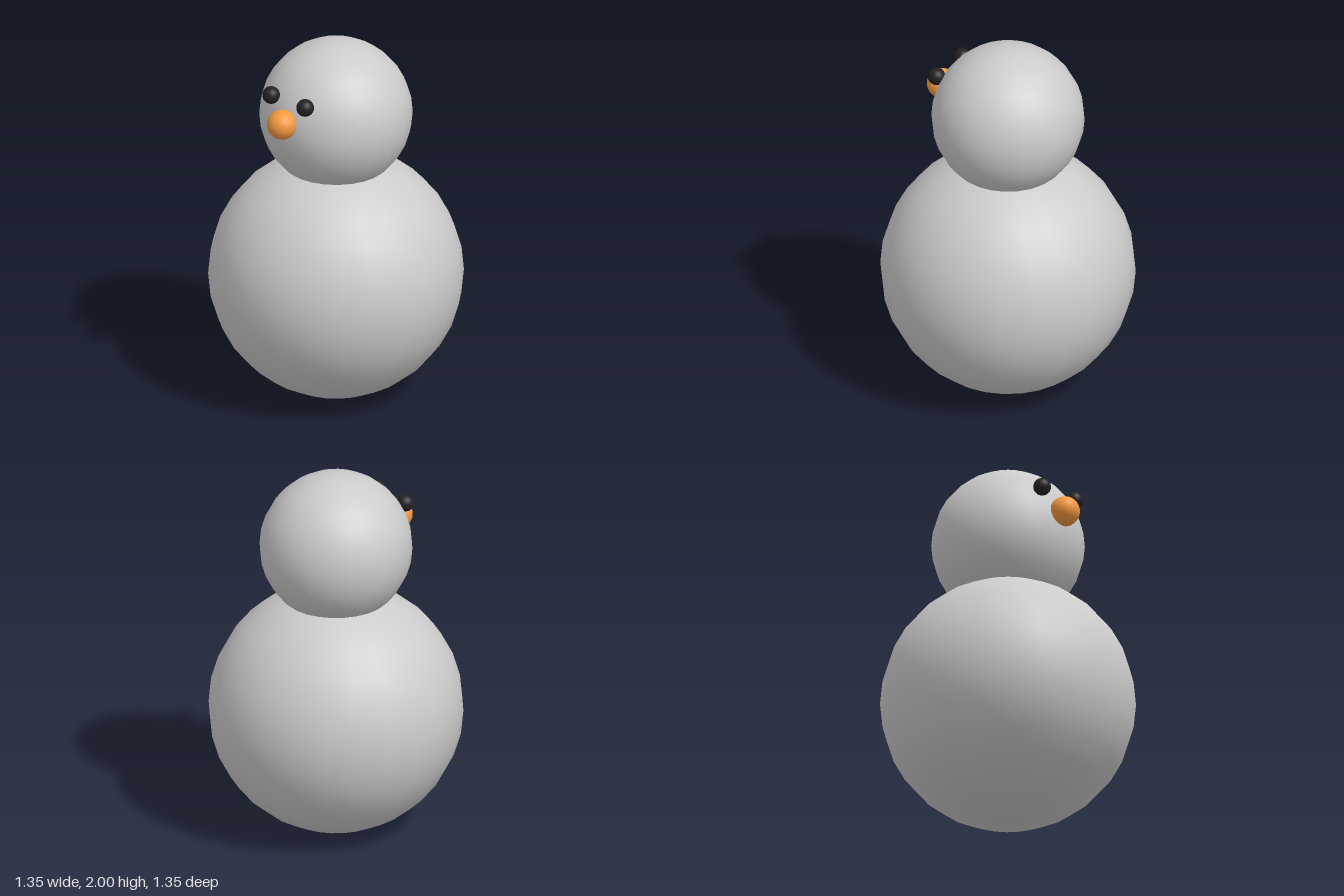
import * as THREE from 'three';

const snow = new THREE.MeshStandardMaterial({ color: 0xcccccc });
const coal = new THREE.MeshStandardMaterial({ color: 0x222222 });
const orange = new THREE.MeshStandardMaterial({ color: 0xf79a3f });

function ball(name, radius, position, material, segments = 24, rings = 16) {
  const mesh = new THREE.Mesh(new THREE.SphereGeometry(radius, segments, rings), material);
  mesh.name = name;
  mesh.position.set(...position);
  return mesh;
}

export function createModel() {
  const model = new THREE.Group();
  model.name = 'snowman';

  // Two stacked snowballs
  model.add(ball('body', 0.675, [0, 0.676, 0], snow));
  model.add(ball('head', 0.405, [0, 1.595, 0], snow));

  // Face
  model.add(ball('nose', 0.08, [0, 1.662, 0.42], orange));
  for (const [name, side] of [['leftEye', 1], ['rightEye', -1]]) {
    model.add(ball(name, 0.047, [side * 0.122, 1.78, 0.372], coal));
  }
  return model;
}
